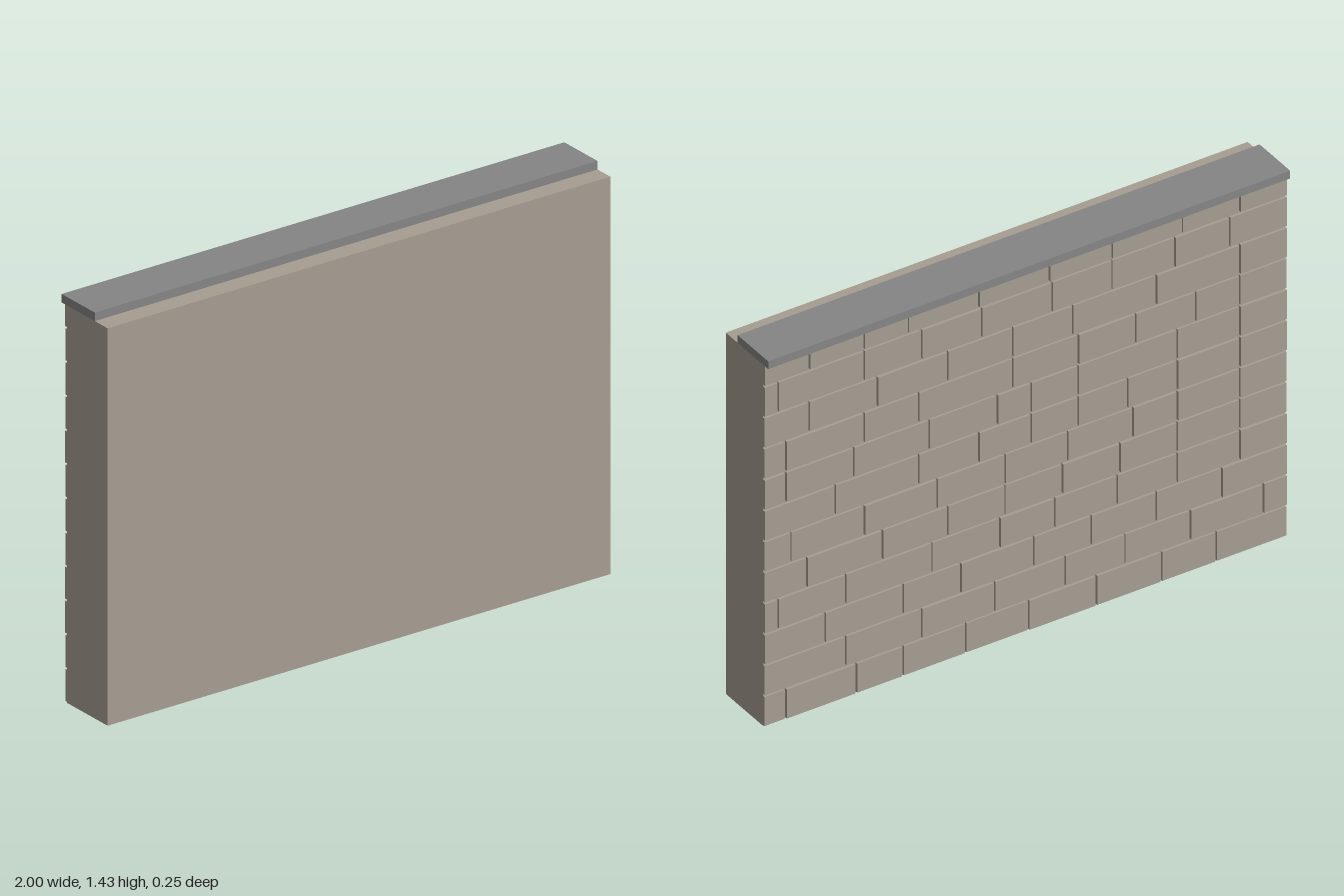
import * as THREE from 'three';

const WALL_BACK = -0.095, WALL_FRONT = 0.125, WALL_TOP = 1.4;
const COURSE = 0.12, GAP = 0.008;

// Upright joints of each course from the bottom up, as x positions
const JOINTS = [
  [0.92, 0.65, 0.47, 0.23, -0.01, -0.27, -0.52, -0.73],
  [0.69, 0.4, 0.12, -0.15, -0.38, -0.63, -0.91],
  [0.77, 0.47, 0.25, -0.03, -0.25, -0.5, -0.75],
  [0.95, 0.69, 0.36, 0.1, -0.11, -0.35, -0.58, -0.82],
  [0.84, 0.55, 0.3, 0.08, -0.14, -0.36, -0.58, -0.82],
  [0.9, 0.62, 0.34, 0.08, -0.16, -0.41, -0.58, -0.82],
  [0.73, 0.41, 0.18, -0.02, -0.2, -0.39, -0.58, -0.82],
  [0.92, 0.66, 0.37, 0.11, -0.02, -0.2, -0.58, -0.82],
  [0.92, 0.62, 0.41, 0.05, -0.2, -0.42, -0.65, -0.82],
  [0.83, 0.57, 0.3, 0.05, -0.18, -0.5, -0.82],
  [0.95, 0.62, 0.4, 0.17, -0.1, -0.33, -0.57, -0.78],
  [0.83, 0.62, 0.45, 0.18, -0.09, -0.33, -0.6, -0.82],
];

// Box given by its lower and upper limits
function block(name, min, max, material) {
  const size = max.map((v, i) => v - min[i]);
  const mesh = new THREE.Mesh(new THREE.BoxGeometry(...size), material);
  mesh.position.set(...max.map((v, i) => (v + min[i]) / 2));
  mesh.name = name;
  return mesh;
}

export function createModel() {
  const model = new THREE.Group();
  model.name = 'stoneWall';
  const stone = new THREE.MeshStandardMaterial({ color: 0xa69d91 });
  const slate = new THREE.MeshStandardMaterial({ color: 0x858585 });

  // Solid wall and coping slab, set towards the back
  model.add(block('wall', [-1, 0, WALL_BACK], [1, WALL_TOP, WALL_FRONT], stone));
  model.add(block('coping', [-1, WALL_TOP, -0.125], [1, 1.43, 0.055], slate));

  // Thin facing stones on the back, with open joints
  const facing = new THREE.Group();
  facing.name = 'stoneFacing';
  JOINTS.forEach((joints, row) => {
    const bottom = row * COURSE + GAP / 2;
    const top = Math.min((row + 1) * COURSE - GAP / 2, WALL_TOP);
    const edges = [1, ...joints, -1];
    for (let i = 0; i < edges.length - 1; i++) {
      const right = edges[i + 1] + (i === edges.length - 2 ? 0 : GAP / 2);
      const left = edges[i] - (i === 0 ? 0 : GAP / 2);
      const depth = 0.008 + 0.001 * ((row * 5 + i * 3) % 4);
      facing.add(block('facingStone', [right, bottom, WALL_BACK - depth], [left, top, WALL_BACK], stone));
    }
  });
  model.add(facing);
  return model;
}
